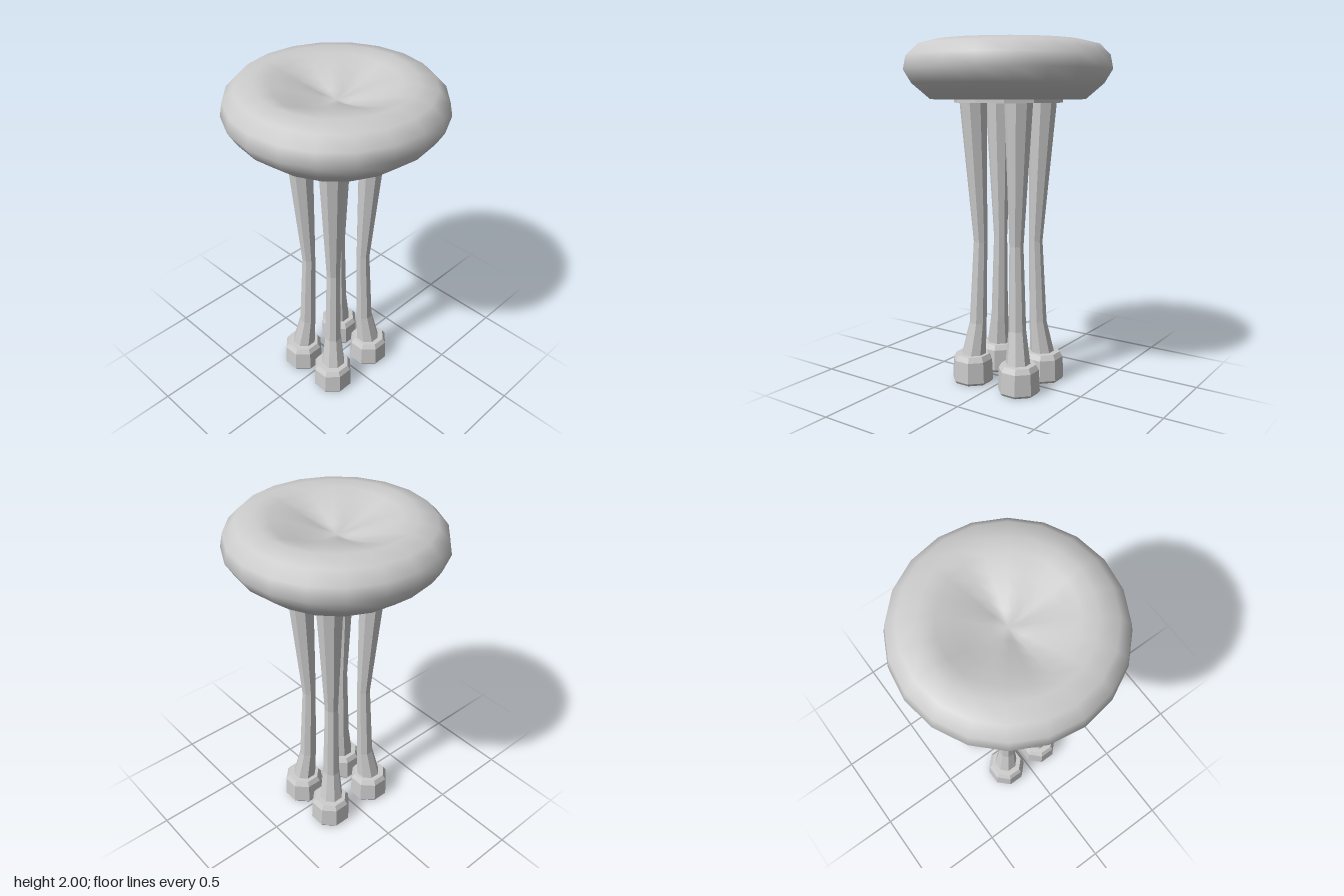
import * as THREE from 'three';
import { mergeVertices } from 'three/addons/utils/BufferGeometryUtils.js';

const smooth = new THREE.MeshStandardMaterial({ color: 0xcccccc });
const faceted = new THREE.MeshStandardMaterial({ color: 0xcccccc, flatShading: true });
const profile = (pts) => pts.map(([r, y]) => new THREE.Vector2(r, y));

function addMesh(parent, name, geometry, material) {
  const mesh = new THREE.Mesh(geometry, material);
  mesh.name = name;
  parent.add(mesh);
  return mesh;
}

// Round cushion with a dished top and four soft creases meeting in the middle
function cushionGeometry() {
  const lathe = new THREE.LatheGeometry(profile([
    [0, 1.675], [0.3, 1.675], [0.445, 1.675], [0.55, 1.765], [0.595, 1.84],
    [0.58, 1.915], [0.52, 1.975], [0.42, 2], [0.34, 1.985], [0.25, 1.955],
    [0.16, 1.925], [0.08, 1.9], [0, 1.885],
  ]), 20);
  lathe.deleteAttribute('normal');
  lathe.deleteAttribute('uv');
  const geo = mergeVertices(lathe, 1e-4);
  const p = geo.attributes.position;
  for (let i = 0; i < p.count; i++) {
    const x = p.getX(i), y = p.getY(i), z = p.getZ(i), r = Math.hypot(x, z);
    if (y < 1.88 || r > 0.4 || r < 0.01) continue;
    const crease = Math.pow(Math.abs(Math.cos(2 * Math.atan2(z, x))), 3);
    p.setY(i, y + (0.012 - 0.03 * crease) * Math.sin(Math.PI * r / 0.42));
  }
  geo.computeVertexNormals();
  return geo;
}

// Leg sections from bottom to top: height, centre x, centre z, radius
const sections = [
  [0.15, 0.135, 0.16, 0.075],
  [0.36, 0.113, 0.14, 0.052],
  [0.85, 0.103, 0.126, 0.041],
  [1.66, 0.127, 0.155, 0.08],
];

function legGeometry(sx, sz) {
  const geo = new THREE.CylinderGeometry(1, 1, 3, 8, 3).rotateY(Math.PI / 8);
  const p = geo.attributes.position;
  for (let i = 0; i < p.count; i++) {
    const [y, cx, cz, r] = sections[Math.round(p.getY(i) + 1.5)];
    p.setXYZ(i, sx * cx + p.getX(i) * r, y, sz * cz + p.getZ(i) * r);
  }
  geo.computeVertexNormals();
  return geo;
}

export function createModel() {
  const stool = new THREE.Group();
  stool.name = 'stool';

  addMesh(stool, 'cushion', cushionGeometry(), smooth);

  // Thin plate under the cushion
  const plate = addMesh(stool, 'seatPlate', new THREE.CylinderGeometry(0.313, 0.313, 0.03, 12), faceted);
  plate.position.y = 1.67;

  // Four waisted legs with chunky feet
  const footGeo = new THREE.LatheGeometry(profile([
    [0, 0], [0.113, 0], [0.124, 0.015], [0.118, 0.14], [0.1, 0.17], [0, 0.175],
  ]), 8).rotateY(Math.PI / 8);
  for (const sz of [1, -1]) {
    for (const sx of [1, -1]) {
      const leg = new THREE.Group();
      leg.name = (sz > 0 ? 'front' : 'back') + (sx > 0 ? 'Left' : 'Right') + 'Leg';
      addMesh(leg, 'shaft', legGeometry(sx, sz), faceted);
      addMesh(leg, 'foot', footGeo, faceted).position.set(sx * 0.135, 0, sz * 0.165);
      stool.add(leg);
    }
  }
  return stool;
}
